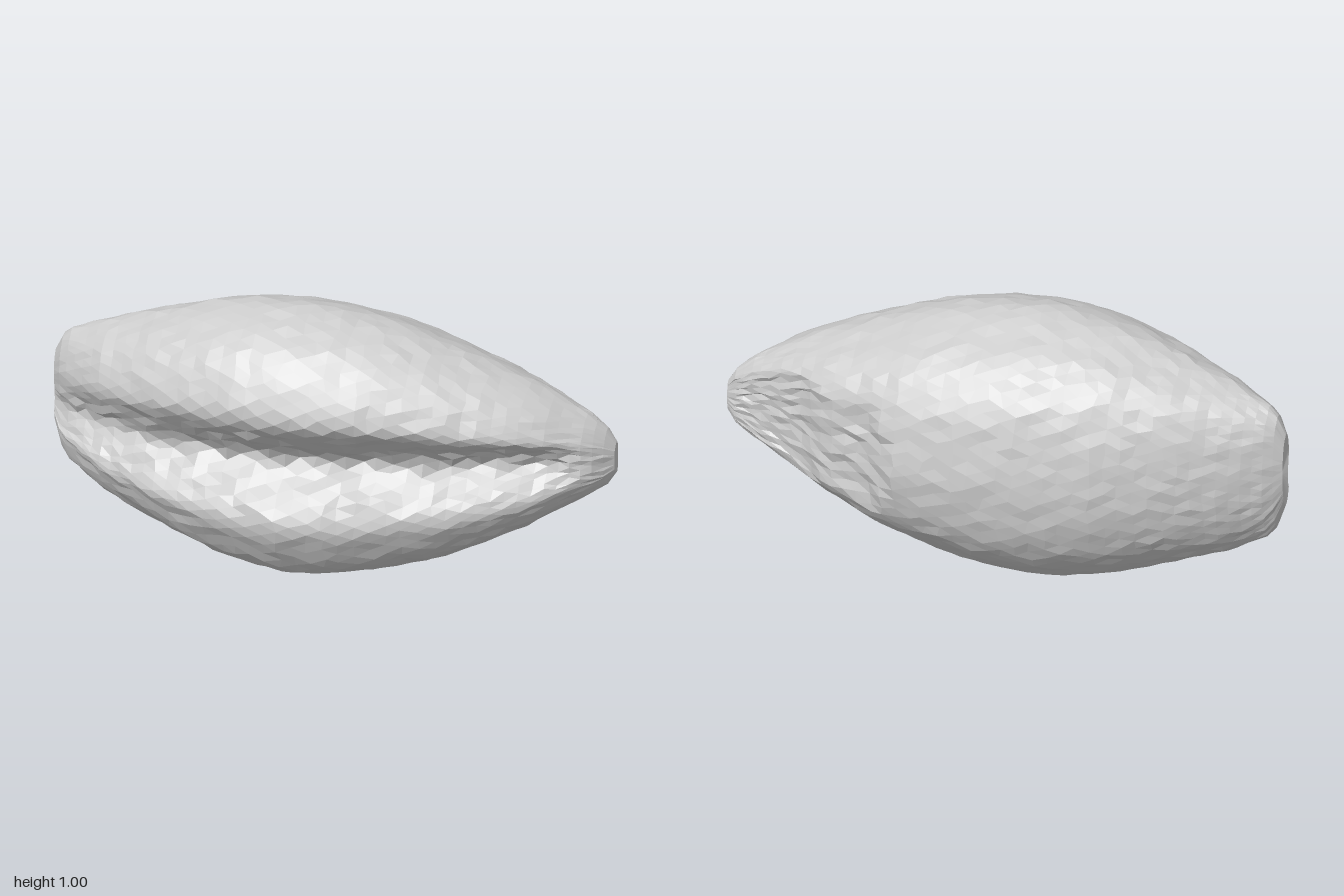
import * as THREE from 'three';

// Stations along the length: x, bottom y, top y, back z, front z, cut z of the flat germ face
const STATIONS = [
  [-1.0, 0.4, 0.68, -0.09, -0.01, -1], [-0.985, 0.33, 0.73, -0.1, 0.02, -1], [-0.94, 0.27, 0.77, -0.13, 0.06, -1],
  [-0.8, 0.19, 0.83, -0.2, 0.165, -1], [-0.6, 0.12, 0.9, -0.285, 0.265, -1], [-0.4, 0.05, 0.96, -0.345, 0.335, -1],
  [-0.25, 0.015, 0.985, -0.37, 0.37, -1], [-0.1, 0, 0.993, -0.383, 0.385, -1], [0.05, 0.012, 0.982, -0.383, 0.38, -1],
  [0.2, 0.045, 0.957, -0.375, 0.355, -0.4], [0.32, 0.08, 0.925, -0.36, 0.33, -0.365], [0.42, 0.11, 0.89, -0.335, 0.305, -0.285],
  [0.6, 0.195, 0.825, -0.27, 0.25, -0.235], [0.7, 0.245, 0.785, -0.22, 0.21, -0.155], [0.8, 0.305, 0.735, -0.17, 0.16, -0.12],
  [0.92, 0.375, 0.665, -0.11, 0.08, -0.085], [0.98, 0.415, 0.61, -0.08, 0.015, -0.07], [1.0, 0.455, 0.57, -0.06, -0.01, -0.06],
];

// Widest cross-section (z, y): two lobes with a crease at the front
const SECTION = [
  [0.38, 0.7], [0.315, 0.62], [0.25, 0.555], [0.23, 0.51], [0.28, 0.45], [0.345, 0.38],
  [0.37, 0.29], [0.34, 0.2], [0.265, 0.09], [0.15, 0.03], [0.03, 0], [-0.1, 0.015],
  [-0.2, 0.08], [-0.29, 0.17], [-0.35, 0.28], [-0.38, 0.45], [-0.365, 0.6], [-0.32, 0.76],
  [-0.23, 0.89], [-0.1, 0.96], [0.03, 1], [0.18, 0.96], [0.285, 0.89], [0.355, 0.79],
];

const ROWS = 44, AROUND = 56;
const { lerp, clamp, smoothstep } = THREE.MathUtils;

function seeded(seed) {
  return () => {
    seed = (seed * 16807) % 2147483647;
    return seed / 2147483647 - 0.5;
  };
}

// Values of all station columns at a given x
function stationAt(x) {
  let i = 0;
  while (i < STATIONS.length - 2 && STATIONS[i + 1][0] < x) i++;
  const a = STATIONS[i], b = STATIONS[i + 1];
  const t = (x - a[0]) / (b[0] - a[0]);
  return a.map((v, k) => lerp(v, b[k], t));
}

function grainGeometry() {
  const rand = seeded(71);
  const outline = new THREE.CatmullRomCurve3(
    SECTION.map(([z, y]) => new THREE.Vector3(0, y, z)), true);
  const positions = [], index = [];

  for (let i = 0; i <= ROWS; i++) {
    // rows crowd slightly towards the two ends
    const u = (i / ROWS) * 2 - 1;
    const x = lerp(u, Math.sin(u * Math.PI / 2), 0.35);
    const [, bottom, top, back, front, cut] = stationAt(x);
    const mid = -0.045 * x * x;
    const height = top - bottom;
    const inner = i > 0 && i < ROWS ? Math.sqrt(height) : 0;
    const fade = smoothstep(x, 0.74, 0.96);
    // the crease lies lower towards the blunt end
    const drop = lerp(0.045, 0.005, smoothstep(x, -0.7, 0.5));
    for (let j = 0; j < AROUND; j++) {
      const p = outline.getPointAt(((j + (i % 2) * 0.5) / AROUND) % 1);
      const d = p.y - 0.5;
      let w = p.z / 0.38;
      // the crease keeps most of its width as the grain narrows
      const open = clamp(w / 0.4, 0, 1) * (1 - smoothstep(Math.abs(d), 0.04, 0.32));
      let y = (bottom + top) / 2 + d * lerp(height, Math.pow(height, 0.6), open) - drop * open;
      // the crease runs out into a solid nub at the pointed end
      if (w > 0) w = lerp(w, Math.sqrt(Math.max(0, 1 - 4 * d * d)), fade);
      let z = mid + w * (w > 0 ? front - mid : mid - back);
      // the germ is a rough flat face cut into the back
      const germ = z < cut;
      z = Math.max(z, cut);
      const crease = w > 0.4 && Math.abs(d) < 0.12;
      const rough = inner * (germ ? 0.022 : crease ? 0.022 : 0.008);
      y += rand() * Math.min(rough, 0.015);
      z += rand() * rough;
      positions.push(x + rand() * 0.02 * inner * (1 - x * x), y, z);
    }
  }

  for (let i = 0; i < ROWS; i++) {
    for (let j = 0; j < AROUND; j++) {
      const k = (j + 1) % AROUND;
      const a = i * AROUND + j, c = i * AROUND + k;
      const b = a + AROUND, d = c + AROUND;
      if (i % 2) index.push(a, c, d, a, d, b);
      else index.push(a, c, b, c, d, b);
    }
  }

  // Close both ends; the blunt end is slightly hollow
  const blunt = positions.length / 3, tip = blunt + 1, last = ROWS * AROUND;
  positions.push(-0.985, 0.52, -0.05, 1, 0.515, -0.035);
  for (let j = 0; j < AROUND; j++) {
    const k = (j + 1) % AROUND;
    index.push(blunt, k, j, tip, last + j, last + k);
  }

  const geometry = new THREE.BufferGeometry();
  geometry.setAttribute('position', new THREE.Float32BufferAttribute(positions, 3));
  geometry.setIndex(index);
  geometry.computeVertexNormals();
  return geometry;
}

export function createModel() {
  const group = new THREE.Group();
  group.name = 'grainKernel';
  const material = new THREE.MeshStandardMaterial({ color: 0xcccccc, flatShading: true });
  const kernel = new THREE.Mesh(grainGeometry(), material);
  kernel.name = 'kernel';
  group.add(kernel);
  return group;
}
